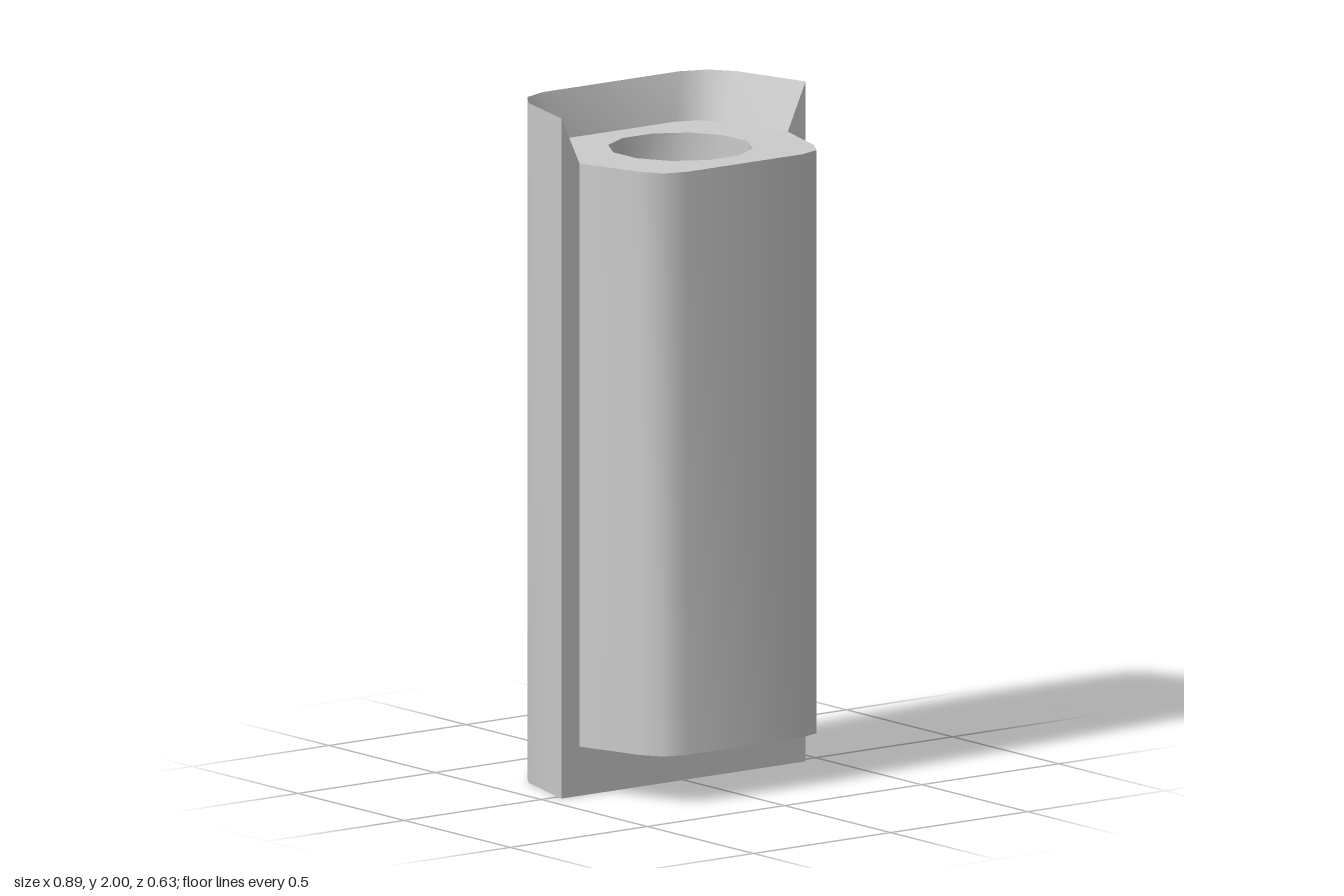
import * as THREE from 'three';
import { mergeGeometries, toCreasedNormals } from 'three/addons/utils/BufferGeometryUtils.js';

const FRONT_Z = 0.025; // front plane of the rear shell
const BODY_Y0 = 0.145, BODY_Y1 = 1.86;
const CUP_R = 0.21, CUP_DEPTH = 0.16, CUP_Z = 0.01;

const mirrorX = (half) => [...half, ...half.map(([x, z]) => [-x, z]).reverse()];

// Plan outlines as [x, z], running from +x round the back to -x
const shellOuter = mirrorX([[0.445, FRONT_Z], [0.38, -0.215], [0.33, -0.285], [0.25, -0.315]]);
const bodyBack = mirrorX([[0.38, FRONT_Z], [0.32, -0.205], [0.28, -0.265], [0.21, -0.29]]);
const bodyFront = mirrorX([[0.32, 0.225], [0.28, 0.29], [0.21, 0.312]]).reverse();
const bodyOutline = [...bodyBack, ...bodyFront];

// Strip of quads between two outlines at two heights
function strip(lower, y0, upper, y1, closed) {
  const pos = [];
  const n = lower.length;
  for (let i = 0; i < (closed ? n : n - 1); i++) {
    const j = (i + 1) % n;
    const a = [lower[i][0], y0, lower[i][1]], b = [lower[j][0], y0, lower[j][1]];
    const c = [upper[j][0], y1, upper[j][1]], d = [upper[i][0], y1, upper[i][1]];
    pos.push(...a, ...b, ...c, ...a, ...c, ...d);
  }
  const g = new THREE.BufferGeometry();
  g.setAttribute('position', new THREE.Float32BufferAttribute(pos, 3));
  return g;
}

// Flat cap from an outline, facing up or down
function cap(outline, y, up, hole) {
  const shape = new THREE.Shape(outline.map(([x, z]) => new THREE.Vector2(x, -z)));
  if (hole) shape.holes.push(new THREE.Path(hole.map(([x, z]) => new THREE.Vector2(x, -z))));
  const g = new THREE.ShapeGeometry(shape).rotateX(-Math.PI / 2);
  if (!up) g.rotateX(Math.PI).scale(1, 1, 1);
  if (!up) {
    // the flip mirrors z, so turn it back and reverse the corners
    g.scale(1, 1, -1);
    const idx = g.index.array;
    for (let i = 0; i < idx.length; i += 3) [idx[i], idx[i + 1]] = [idx[i + 1], idx[i]];
  }
  return g.translate(0, y, 0);
}

// Merge faces and smooth gentle bends only
function solid(parts) {
  const plain = parts.map((p) => {
    const g = p.index ? p.toNonIndexed() : p;
    g.deleteAttribute('uv');
    g.deleteAttribute('normal');
    return g;
  });
  return toCreasedNormals(mergeGeometries(plain), 0.8);
}

export function createModel() {
  const group = new THREE.Group();
  const material = new THREE.MeshStandardMaterial({ color: 0xcccccc, side: THREE.DoubleSide });
  const add = (name, geometry) => {
    const mesh = new THREE.Mesh(geometry, material);
    mesh.name = name;
    group.add(mesh);
  };

  // Inner body: rounded prism with a shallow round recess in its top
  const cupRing = Array.from({ length: 12 }, (_, i) => {
    const t = ((i + 0.5) * Math.PI) / 6;
    return [CUP_R * Math.cos(t), CUP_Z + CUP_R * Math.sin(t)];
  });
  const cupY = BODY_Y1 - CUP_DEPTH;
  const ccw = [...bodyOutline].reverse();
  add('innerBody', solid([
    strip(ccw, BODY_Y0, ccw, BODY_Y1, true),
    cap(bodyOutline, BODY_Y1, true, cupRing),
    cap(bodyOutline, BODY_Y0, false),
  ]));
  add('topRecess', solid([
    strip(cupRing, cupY, cupRing, BODY_Y1, true),
    cap(cupRing, cupY, true),
  ]));

  // Rear shell: outer wall, rim sloping down to the body, and base
  const outer = [...shellOuter].reverse();
  add('rearShell', solid([
    strip(outer, 0, outer, 2, false),
    strip(bodyBack, BODY_Y1, shellOuter, 2, false),
    cap(shellOuter, 0, false),
  ]));

  // Flat front edge of the shell, a U around the body
  const edge = new THREE.Shape([
    [-0.445, 0], [0.445, 0], [0.445, 2], [0.38, BODY_Y1],
    [0.38, BODY_Y0], [-0.38, BODY_Y0], [-0.38, BODY_Y1], [-0.445, 2],
  ].map(([x, y]) => new THREE.Vector2(x, y)));
  add('shellFrontEdge', new THREE.ShapeGeometry(edge).translate(0, 0, FRONT_Z));

  return group;
}
